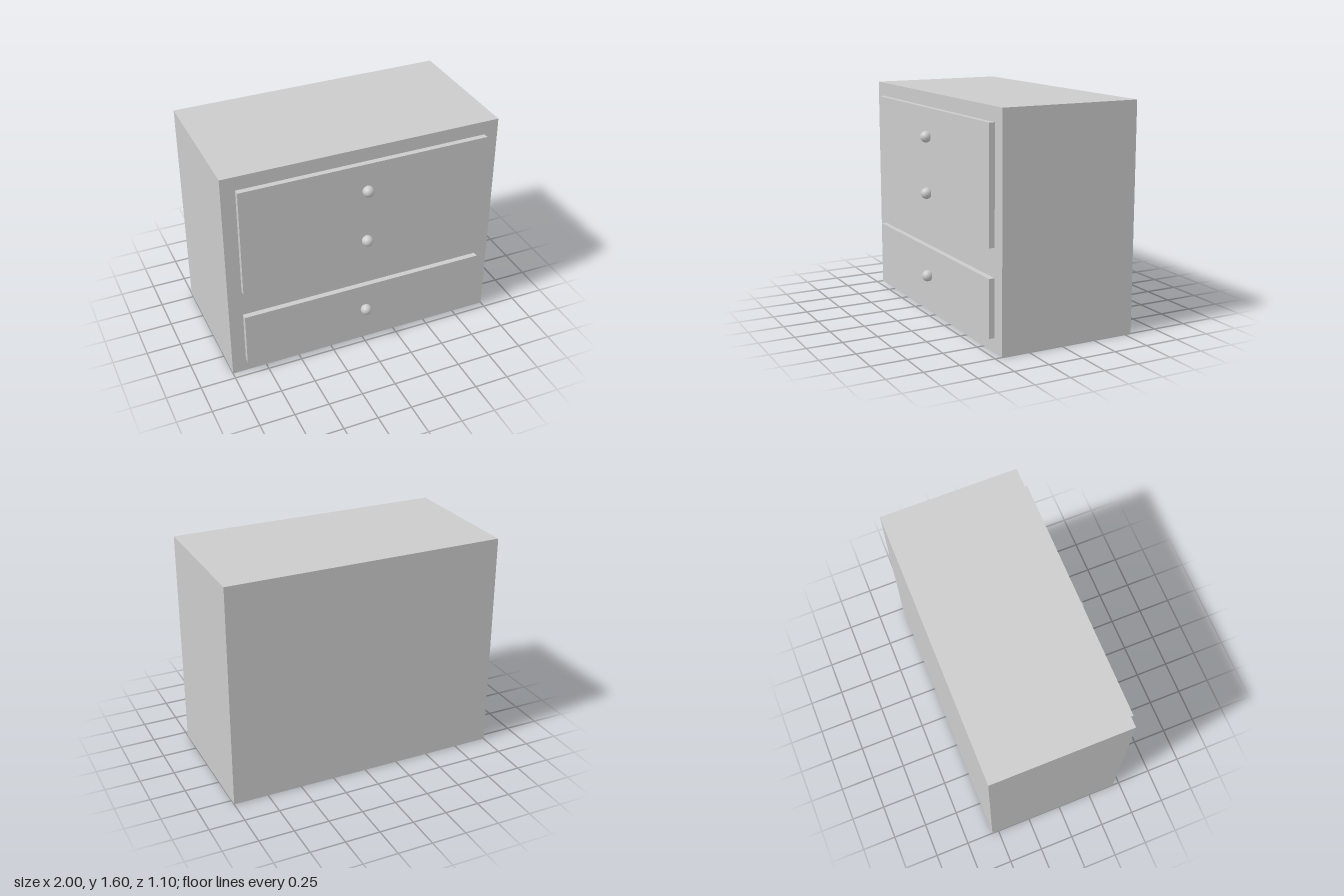
import * as THREE from 'three';

const material = new THREE.MeshStandardMaterial({ color: 0xcccccc });

function addPart(parent, name, geometry, x, y, z) {
  const mesh = new THREE.Mesh(geometry, material);
  mesh.name = name;
  mesh.position.set(x, y, z);
  parent.add(mesh);
}

export function createModel() {
  const model = new THREE.Group();
  model.name = 'chestOfDrawers';

  // Solid cabinet body
  addPart(model, 'cabinet', new THREE.BoxGeometry(2, 1.6, 1), 0, 0.8, -0.05);

  // Raised drawer fronts, each with its round knobs
  const drawers = [
    { name: 'lowerDrawer', bottom: 0.1, top: 0.5, knobs: [0.3] },
    { name: 'upperDrawer', bottom: 0.7, top: 1.5, knobs: [0.9, 1.3] },
  ];
  const knobGeometry = new THREE.SphereGeometry(0.04, 32, 16);
  for (const { name, bottom, top, knobs } of drawers) {
    const drawer = new THREE.Group();
    drawer.name = name;
    const front = new THREE.BoxGeometry(1.8, top - bottom, 0.04);
    addPart(drawer, 'drawerFront', front, 0, (bottom + top) / 2, 0.47);
    for (const y of knobs) addPart(drawer, 'knob', knobGeometry, 0, y, 0.51);
    model.add(drawer);
  }

  return model;
}
